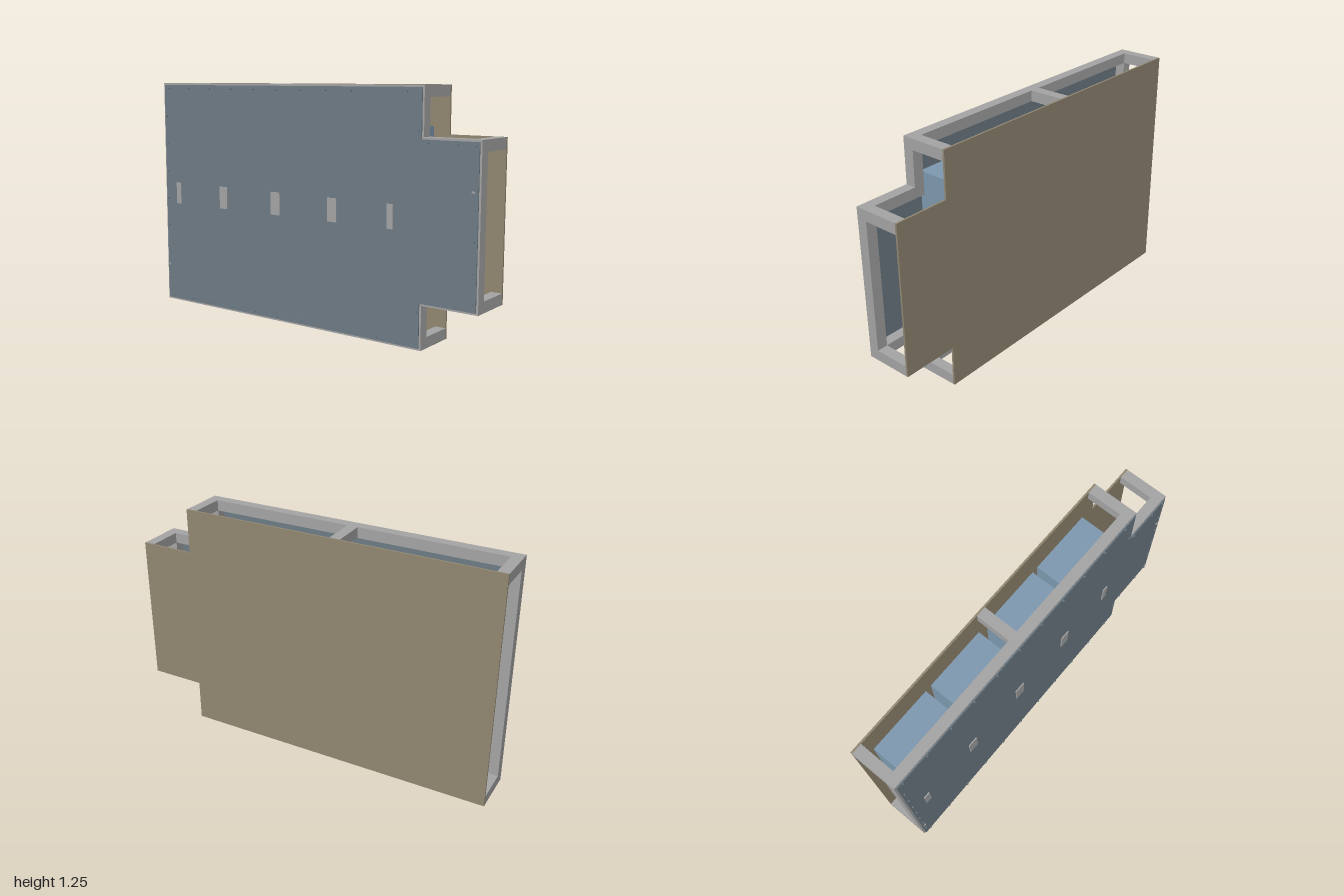
import * as THREE from 'three';

const material = (name, color) => {
  const m = new THREE.MeshStandardMaterial({ color });
  m.name = name;
  return m;
};

// Stepped outline of the case, moved inwards by d
const outline = (d) => [
  [-1 + d, d], [0.705 - d, d], [0.705 - d, 0.22 + d], [1 - d, 0.22 + d],
  [1 - d, 1.012 - d], [0.705 - d, 1.012 - d], [0.705 - d, 1.25 - d], [-1 + d, 1.25 - d],
].map(([x, y]) => new THREE.Vector2(x, y));

export function createModel() {
  const group = new THREE.Group();
  const grey = material('frame grey', 0xa6a6a6);
  const slate = material('panel slate', 0x6f7d86);
  const tan = material('backing tan', 0x938973);
  const blue = material('module blue', 0x7f9ab1);

  const add = (name, geometry, mat) => {
    const mesh = new THREE.Mesh(geometry, mat);
    mesh.name = name;
    group.add(mesh);
    return mesh;
  };
  const box = (name, mat, x0, x1, y0, y1, z0, z1) => {
    const mesh = add(name, new THREE.BoxGeometry(x1 - x0, y1 - y0, z1 - z0), mat);
    mesh.position.set((x0 + x1) / 2, (y0 + y1) / 2, (z0 + z1) / 2);
  };
  const plate = (name, mat, shape, z0, z1) => {
    const geometry = new THREE.ExtrudeGeometry(shape, { depth: z1 - z0, bevelEnabled: false });
    add(name, geometry, mat).position.z = z0;
  };

  // Front frame ring, front panel and back panel
  const bar = 0.056;
  const ring = new THREE.Shape(outline(0));
  ring.holes.push(new THREE.Path(outline(bar)));
  plate('frontFrame', grey, ring, 0.065, 0.12);
  plate('frontPanel', slate, new THREE.Shape(outline(0.01)), 0.119, 0.126);
  plate('backPanel', tan, new THREE.Shape(outline(0)), -0.132, -0.122);

  // Posts joining the frame to the back panel
  for (const [x, bottom, top] of [
    [-1, 0, 1.25], [-0.175, 0, 1.25], [0.705 - bar, 0, 1.25], [1 - bar, 0.22, 1.012],
  ]) {
    box('lowerPost', grey, x, x + bar, bottom, bottom + bar, -0.122, 0.065);
    box('upperPost', grey, x, x + bar, top - bar, top, -0.122, 0.065);
  }

  // Two rows of four inner modules
  for (const [x0, x1] of [[-0.91, -0.555], [-0.52, -0.176], [-0.118, 0.228], [0.263, 0.618]]) {
    for (const y of [0.2, 0.695]) box('innerModule', blue, x0, x1, y, y + 0.355, -0.122, 0.119);
  }

  // Raised plates across the front
  for (const [x0, x1] of [[-0.905, -0.87], [-0.57, -0.515], [-0.206, -0.146], [0.163, 0.218], [0.515, 0.548]]) {
    box('frontPlate', grey, x0, x1, 0.57, 0.69, 0.125, 0.132);
  }
  for (const [x, y] of [[0.967, 0.778], [-0.975, 0.208]]) {
    box('smallTab', grey, x - 0.008, x + 0.008, y - 0.004, y + 0.004, 0.125, 0.131);
  }

  // Screws around the edge of the front panel
  const points = [];
  for (let i = 0; i < 11; i++) {
    const x = -0.955 + 0.157 * i;
    points.push([x, 0.028], [x, 1.222]);
  }
  for (let i = 1; i < 8; i++) points.push([-0.975, 1.222 - 0.156 * i]);
  for (let i = 0; i < 6; i++) points.push([0.972, 0.985 - 0.143 * i]);
  for (const x of [0.73, 0.88, 0.967]) points.push([x, 0.245], [x, 0.988]);
  points.push([0.68, 0.19], [0.68, 1.042]);
  const screw = new THREE.CylinderGeometry(0.006, 0.006, 0.007, 10).rotateX(Math.PI / 2);
  for (const [x, y] of points) add('screw', screw, slate).position.set(x, y, 0.1285);

  return group;
}
